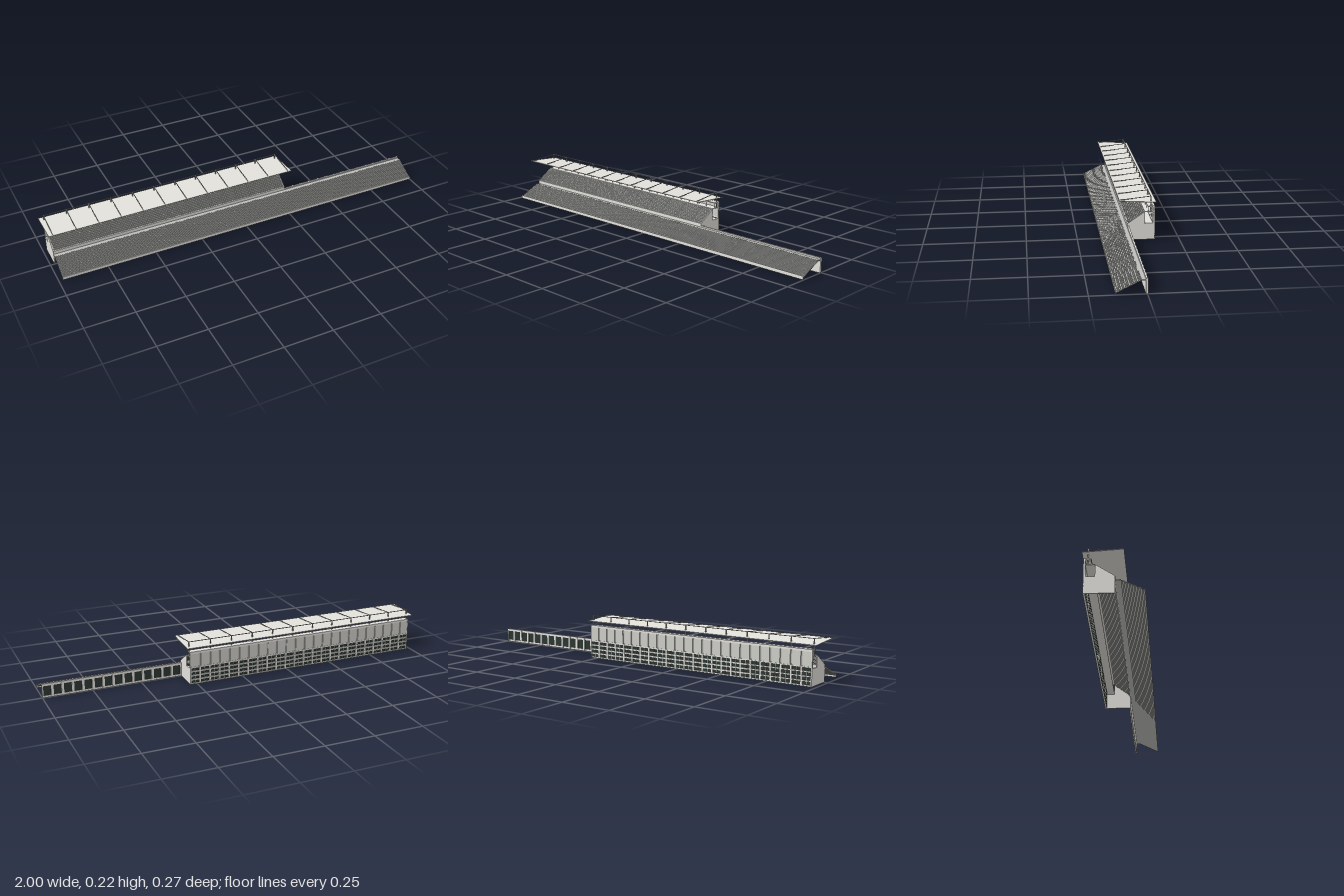
import * as THREE from 'three';
import { mergeGeometries } from 'three/addons/utils/BufferGeometryUtils.js';

const mat = (name, color) => {
  const m = new THREE.MeshStandardMaterial({ color });
  m.name = name;
  return m;
};

export function createModel() {
  const group = new THREE.Group();
  const concrete = mat('light concrete', 0xe3e1dc);
  const roofing = mat('roof sheet', 0xe3e2dc);
  const terrace = mat('terrace concrete', 0xbfbfbc);
  const seatGrey = mat('seat grey', 0xb8b8b6);
  const panelGrey = mat('panel grey', 0xcfcec9);
  const steel = mat('steel', 0xb9b8b4);
  const glass = mat('dark glass', 0x2b3631);
  const beige = mat('beige trim', 0xcfc4ac);

  const add = (name, geos, m) => {
    const mesh = new THREE.Mesh(Array.isArray(geos) ? mergeGeometries(geos) : geos, m);
    mesh.name = name;
    group.add(mesh);
  };
  // Box from its minimum and maximum corners
  const box = (x0, x1, y0, y1, z0, z1) =>
    new THREE.BoxGeometry(x1 - x0, y1 - y0, z1 - z0)
      .translate((x0 + x1) / 2, (y0 + y1) / 2, (z0 + z1) / 2);
  // Profile of [z, y] points extruded along x
  const profile = (pts, x0, x1) =>
    new THREE.ExtrudeGeometry(
      new THREE.Shape(pts.map(([z, y]) => new THREE.Vector2(-z, y))),
      { depth: x1 - x0, bevelEnabled: false }
    ).rotateY(Math.PI / 2).translate(x0, 0, 0);

  // Beam of square section between two [z, y] points
  const beam = (x, a, b, t) => {
    const dz = b[0] - a[0], dy = b[1] - a[1];
    return new THREE.BoxGeometry(t, t, Math.hypot(dz, dy))
      .rotateX(-Math.atan2(dy, dz))
      .translate(x, (a[1] + b[1]) / 2, (a[0] + b[0]) / 2);
  };

  const X0 = -0.98, X1 = 0.285, XE = 1.0;

  // Folded slab, stepped above and below, with rows of single seats
  function seating(name, x0, x1, z0, y0, z1, y1, rows, thick, skip, landing) {
    const dz = (z1 - z0) / rows, dy = (y1 - y0) / rows;
    const top = [], seats = [];
    const count = Math.floor((x1 - x0) / 0.012), pitch = (x1 - x0) / count;
    for (let i = 0; i < rows; i++) {
      const z = z0 + i * dz, y = y0 + (i + 1) * dy;
      top.push([z, y - dy], [z, y]);
      for (let k = 0; k < count; k++) {
        if (skip && k % skip === skip - 1) continue;
        const x = x0 + k * pitch;
        seats.push(box(x + 0.0015, x + pitch - 0.0015, y, y + 0.0012, z + dz * 0.95, z + dz * 0.45));
      }
    }
    top.push([z1, y1]);
    if (landing !== undefined) top.push([landing, y1]);
    const under = top.map(([z, y]) => [z - 0.001, y - thick]).reverse();
    add(name + 'Terrace', profile([...top, ...under], x0, x1), terrace);
    add(name + 'Seats', seats, seatGrey);
  }
  seating('lower', X0, XE, 0.134, 0.011, 0.025, 0.065, 16, 0.004, 0, 0.004);
  seating('upper', X0 + 0.004, X1 - 0.004, 0.004, 0.078, -0.079, 0.139, 12, 0.006, 9);

  // Pitch-side barrier
  add('frontBarrier', box(X0, XE, 0.001, 0.018, 0.133, 0.1355), concrete);

  // End walls, open at the rear corridor
  const wall = [[0.007, 0], [0.007, 0.083], [-0.08, 0.142], [-0.08, 0.083],
    [-0.12, 0.083], [-0.12, 0.172], [-0.13, 0.172], [-0.13, 0]];
  add('endWalls', [profile(wall, X0, X0 + 0.005), profile(wall, X1 - 0.005, X1)], concrete);
  add('parapet', box(X0, X1, 0.06, 0.083, 0.003, 0.007), concrete);
  add('corridorSlabs', [
    box(X0, X1, 0.0805, 0.083, -0.12, -0.08),
    box(X0, X1, 0.14, 0.143, -0.121, -0.079),
  ], concrete);
  add('topLedge', box(X0, X1, 0.166, 0.171, -0.121, -0.095), concrete);
  const ledgeSupports = [], trims = [];
  for (let i = 0; i <= 22; i++) {
    const x = X0 + (X1 - X0 - 0.002) * i / 22;
    ledgeSupports.push(box(x, x + 0.002, 0.143, 0.166, -0.097, -0.095));
    if (i < 22) trims.push(box(x + 0.006, x + 0.052, 0.1665, 0.1705, -0.096, -0.0945));
  }
  add('ledgeSupports', ledgeSupports, steel);
  add('ledgeTrim', trims, beige);

  // Rear facade: floor ledges, piers, tall panels and windows
  const cols = 24, w = (X1 - X0) / cols;
  const piers = [], panels = [], slits = [], mullions = [];
  for (let i = 0; i <= cols; i++) {
    const x = X0 + i * w;
    const a = Math.max(X0, x - 0.004), b = Math.min(X1, x + 0.004);
    piers.push(box(a, b, 0, 0.088, -0.1295, -0.121));
    slits.push(box(a, b, 0.094, 0.16, -0.1265, -0.121));
    if (i === cols) break;
    panels.push(box(x + 0.005, x + w - 0.005, 0.09, 0.162, -0.1295, -0.121));
    mullions.push(box(x + w / 2 - 0.001, x + w / 2 + 0.001, 0, 0.088, -0.127, -0.122));
  }
  const ledges = [box(X0, X1, 0.161, 0.172, -0.13, -0.12)];
  for (let j = 0; j <= 4; j++) {
    const y = j * 0.0215;
    ledges.push(box(X0, X1, y, y + 0.006, -0.1305, -0.121));
  }
  add('facadePiers', piers, concrete);
  add('facadeLedges', ledges, concrete);
  add('facadePanels', panels, panelGrey);
  add('facadeMullions', mullions, steel);
  add('facadeSlits', slits, steel);
  add('facadeWindows', box(X0 + 0.005, X1 - 0.005, 0.002, 0.088, -0.125, -0.121), glass);

  // Low wing wall behind the open terrace
  const bays = 14, bw = (XE - X1) / bays, wingPosts = [];
  for (let i = 0; i <= bays; i++) {
    const x = X1 + i * bw;
    wingPosts.push(box(Math.max(X1, x - 0.006), Math.min(XE, x + 0.006), 0, 0.072, -0.003, 0.006));
  }
  add('wingPosts', wingPosts, concrete);
  add('wingRails', [
    box(X1, XE, 0.06, 0.072, -0.001, 0.007),
    box(X1, XE, 0, 0.01, -0.001, 0.007),
  ], concrete);
  add('wingFront', box(X1, XE, 0, 0.072, 0.004, 0.007), concrete);
  add('wingWindows', box(X1, XE - 0.001, 0.01, 0.06, 0.001, 0.004), glass);

  // Cantilever roof
  add('roof', profile([[0.046, 0.2015], [0.046, 0.2045], [-0.135, 0.194], [-0.135, 0.191]], -1, 0.3), roofing);

  // Roof masts, tie rods and ridge rail
  const masts = [], ties = [];
  for (let i = 0; i < 12; i++) {
    const x = X0 + 0.002 + i * (X1 - X0 - 0.004) / 11;
    masts.push(box(x - 0.002, x + 0.002, 0.142, 0.221, -0.112, -0.107));
    ties.push(beam(x, [0.04, 0.205], [-0.11, 0.22], 0.003));
  }
  add('roofMasts', masts, steel);
  add('roofTies', ties, steel);
  add('ridgeRail', box(X0, X1, 0.218, 0.221, -0.111, -0.108), steel);

  return group;
}
